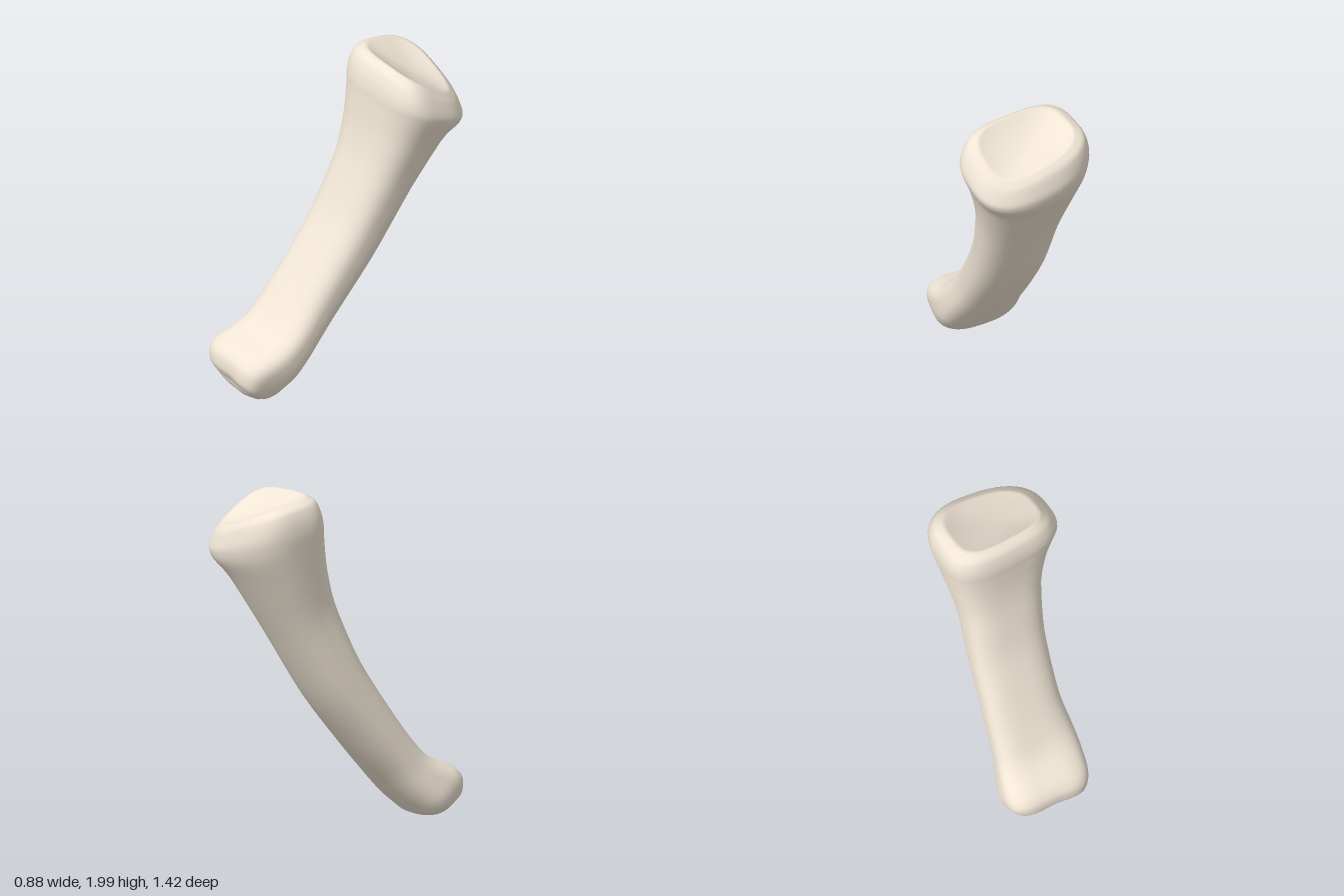
import * as THREE from 'three';

// Cross-sections from lower end to upper end: front z, y; back z, y; min x, max x
const SECTIONS = [
  // lower knuckle
  [0.67, 0.10, 0.55, 0.01, -0.34, -0.01],
  [0.70, 0.16, 0.49, 0.005, -0.405, 0.03],
  [0.69, 0.24, 0.44, 0.015, -0.44, 0.06],
  [0.64, 0.295, 0.40, 0.05, -0.44, 0.085],
  [0.51, 0.355, 0.34, 0.11, -0.41, 0.11],
  // shaft
  [0.42, 0.43, 0.25, 0.21, -0.38, 0.12],
  [0.27, 0.63, 0.09, 0.39, -0.345, 0.125],
  [0.04, 1.0, -0.17, 0.73, -0.295, 0.18],
  [-0.10, 1.35, -0.41, 1.14, -0.255, 0.26],
  [-0.15, 1.56, -0.60, 1.46, -0.27, 0.35],
  // upper head
  [-0.17, 1.74, -0.69, 1.60, -0.285, 0.42],
  [-0.175, 1.82, -0.71, 1.68, -0.29, 0.44],
  [-0.19, 1.89, -0.70, 1.74, -0.28, 0.43],
  [-0.22, 1.955, -0.68, 1.80, -0.25, 0.40],
  [-0.27, 1.985, -0.64, 1.84, -0.19, 0.35],
];
const AROUND = 48;
const STEPS = 56;

const { lerp, smoothstep } = THREE.MathUtils;
const signedPow = (v, e) => Math.sign(v) * Math.abs(v) ** e;

// Smooth curves through the front edge, the back edge and the side limits
const [frontEdge, backEdge, sides] = [0, 2, 4].map((c) => new THREE.CatmullRomCurve3(
  SECTIONS.map((s) => new THREE.Vector3(s[c], s[c + 1], 0)), false, 'catmullrom', 0.4));

// One ring of points at t; scale shrinks it to close an end, which then moves by dy, dz
function ring(t, scale = 1, dy = 0, dz = 0) {
  const f = frontEdge.getPoint(t);
  const b = backEdge.getPoint(t);
  const w = sides.getPoint(t);
  const height = (f.y + b.y) / 2;
  const knuckle = 1 - smoothstep(height, 0.17, 0.42);
  const head = smoothstep(height, 1.5, 1.92);
  const points = [];
  for (let j = 0; j < AROUND; j++) {
    const a = (j / AROUND) * Math.PI * 2;
    // squarer in front, rounder behind, boxier at both ends
    const power = (Math.sin(a) >= 0 ? 3 : 2.25) + 0.5 * knuckle + 0.4 * head;
    const u = scale * signedPow(Math.cos(a), 2 / power);
    const k = (1 + scale * signedPow(Math.sin(a), 2 / power)) / 2;
    const dx = u * (w.y - w.x) / 2;
    // the head leans to one side, a faint groove parts the two condyles
    const roll = -head * lerp(0.34, 0.07, k) - 0.05 * knuckle;
    const skew = 0.1 * knuckle + head * lerp(0.1, 0.03, k);
    const groove = 0.012 * knuckle * Math.exp(-((u / 0.4) ** 2));
    points.push(
      (w.x + w.y) / 2 + dx,
      lerp(b.y, f.y, k) + dx * roll + dy,
      lerp(b.x, f.x, k) + dx * skew - groove * k + dz,
    );
  }
  return points;
}

// Skin the rings into one smooth closed surface
function boneGeometry() {
  // slightly bulging lower end
  const rings = [0.01, 0.3, 0.55, 0.75, 0.9].map((s) => {
    const bulge = 0.02 * (1 - s * s);
    return ring(0, s, -bulge, bulge);
  });
  for (let i = 0; i <= STEPS; i++) rings.push(ring(i / STEPS));
  // shallow dish in the top
  for (const s of [0.94, 0.85, 0.7, 0.5, 0.25, 0.01]) {
    rings.push(ring(1, s, -0.045 * (1 - s * s)));
  }
  const index = [];
  for (let i = 0; i < rings.length - 1; i++) {
    for (let j = 0; j < AROUND; j++) {
      const p = i * AROUND + j;
      const q = i * AROUND + (j + 1) % AROUND;
      index.push(p, p + AROUND, q, q, p + AROUND, q + AROUND);
    }
  }
  const geometry = new THREE.BufferGeometry();
  geometry.setAttribute('position', new THREE.Float32BufferAttribute(rings.flat(), 3));
  geometry.setIndex(index);
  geometry.computeVertexNormals();
  return geometry;
}

export function createModel() {
  const group = new THREE.Group();
  group.name = 'fingerBone';
  const bone = new THREE.Mesh(boneGeometry(),
    new THREE.MeshStandardMaterial({ color: 0xf0e5d5 }));
  bone.name = 'bone';
  group.add(bone);
  return group;
}
